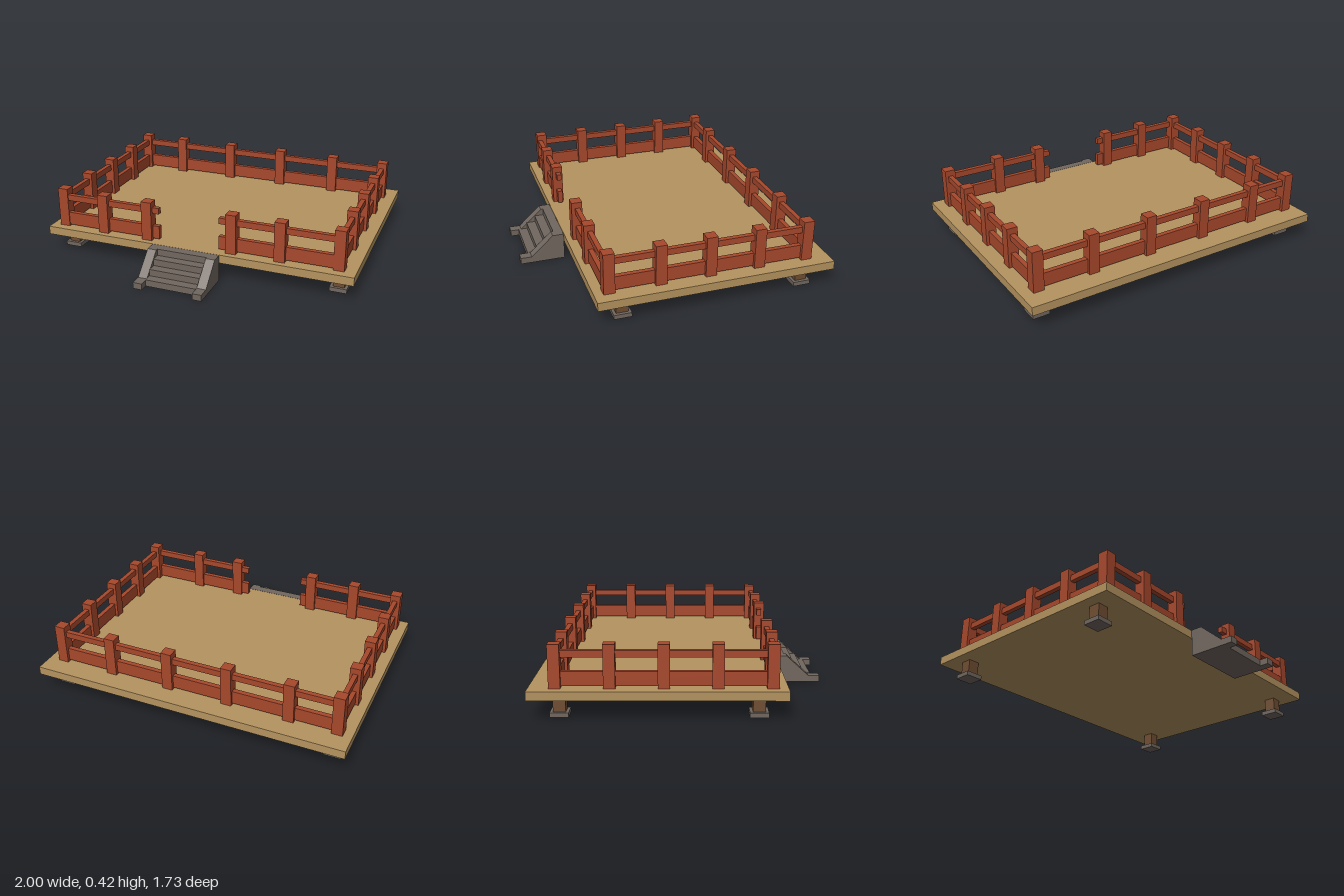
import * as THREE from 'three';

const material = (name, color) => {
  const m = new THREE.MeshStandardMaterial({ color });
  m.name = name;
  return m;
};

export function createModel() {
  const deckWood = material('deck wood', 0xb5935f);
  const redWood = material('red painted wood', 0xa8482c);
  const legWood = material('dark leg wood', 0x704e32);
  const stone = material('grey stone', 0x71675f);

  const model = new THREE.Group();
  model.name = 'deckPlatform';

  // Box given by its min and max on each axis
  const box = (name, mat, [x0, x1], [y0, y1], [z0, z1], parent = model) => {
    const mesh = new THREE.Mesh(new THREE.BoxGeometry(x1 - x0, y1 - y0, z1 - z0), mat);
    mesh.position.set((x0 + x1) / 2, (y0 + y1) / 2, (z0 + z1) / 2);
    mesh.name = name;
    parent.add(mesh);
  };
  const around = (c, size) => [c - size / 2, c + size / 2];
  const group = (name) => {
    const g = new THREE.Group();
    g.name = name;
    model.add(g);
    return g;
  };

  const deckTop = 0.168;
  box('deck', deckWood, [-1, 1], [0.115, deckTop], [-0.867, 0.583]);

  // Legs on square footings
  const legs = group('legs');
  for (const x of [-0.893, 0.887]) {
    for (const z of [-0.695, 0.423]) {
      box('leg', legWood, around(x, 0.07), [0.026, 0.115], around(z, 0.072), legs);
      box('footing', stone, around(x, 0.107), [0, 0.027], around(z, 0.107), legs);
    }
  }

  // Fence posts
  const fence = group('fence');
  const left = 0.896, right = -0.912, back = -0.716, front = 0.513;
  const post = (x, z) =>
    box('fencePost', redWood, around(x, 0.067), [deckTop, 0.42], around(z, 0.067), fence);
  for (const x of [right, -0.62, -0.232, 0.155, 0.543, left]) post(x, back);
  for (const x of [right, left]) for (const z of [-0.412, -0.11, 0.192, 0.496]) post(x, z);
  for (const x of [-0.62, -0.317, 0.238, 0.543]) post(x, front);

  // Thin top rail and wide bottom board for each run
  const rails = (xs, zs) => {
    box('topRail', redWood, xs, [0.343, 0.382], zs, fence);
    box('bottomBoard', redWood, xs, [0.178, 0.262], zs, fence);
  };
  rails([right, left], around(back, 0.03));
  for (const x of [right, left]) rails(around(x, 0.03), [back, 0.496]);
  rails([right, -0.24], around(0.509, 0.03));
  rails([0.155, left], around(0.509, 0.03));

  // Stairs: stepped core between two sloping side walls, profiles drawn in z and y
  const stairs = group('stairs');
  const extrudeAcross = (name, points, x0, x1) => {
    const shape = new THREE.Shape(points.map(([z, y]) => new THREE.Vector2(-z, y)));
    const geo = new THREE.ExtrudeGeometry(shape, { depth: x1 - x0, bevelEnabled: false });
    geo.rotateY(Math.PI / 2);
    const mesh = new THREE.Mesh(geo, stone);
    mesh.position.x = x0;
    mesh.name = name;
    stairs.add(mesh);
  };
  const wall = [[0.585, 0], [0.865, 0], [0.865, 0.04], [0.795, 0.04], [0.655, 0.168], [0.585, 0.168]];
  extrudeAcross('stairWall', wall, -0.258, -0.2);
  extrudeAcross('stairWall', wall, 0.123, 0.181);

  const steps = [[0.585, 0]];
  for (let i = 0; i < 4; i++) {
    const z = 0.812 - i * 0.057;
    steps.push([z, i * 0.042], [z, (i + 1) * 0.042]);
  }
  steps.push([0.585, 0.168]);
  extrudeAcross('steps', steps, -0.2, 0.123);

  return model;
}
